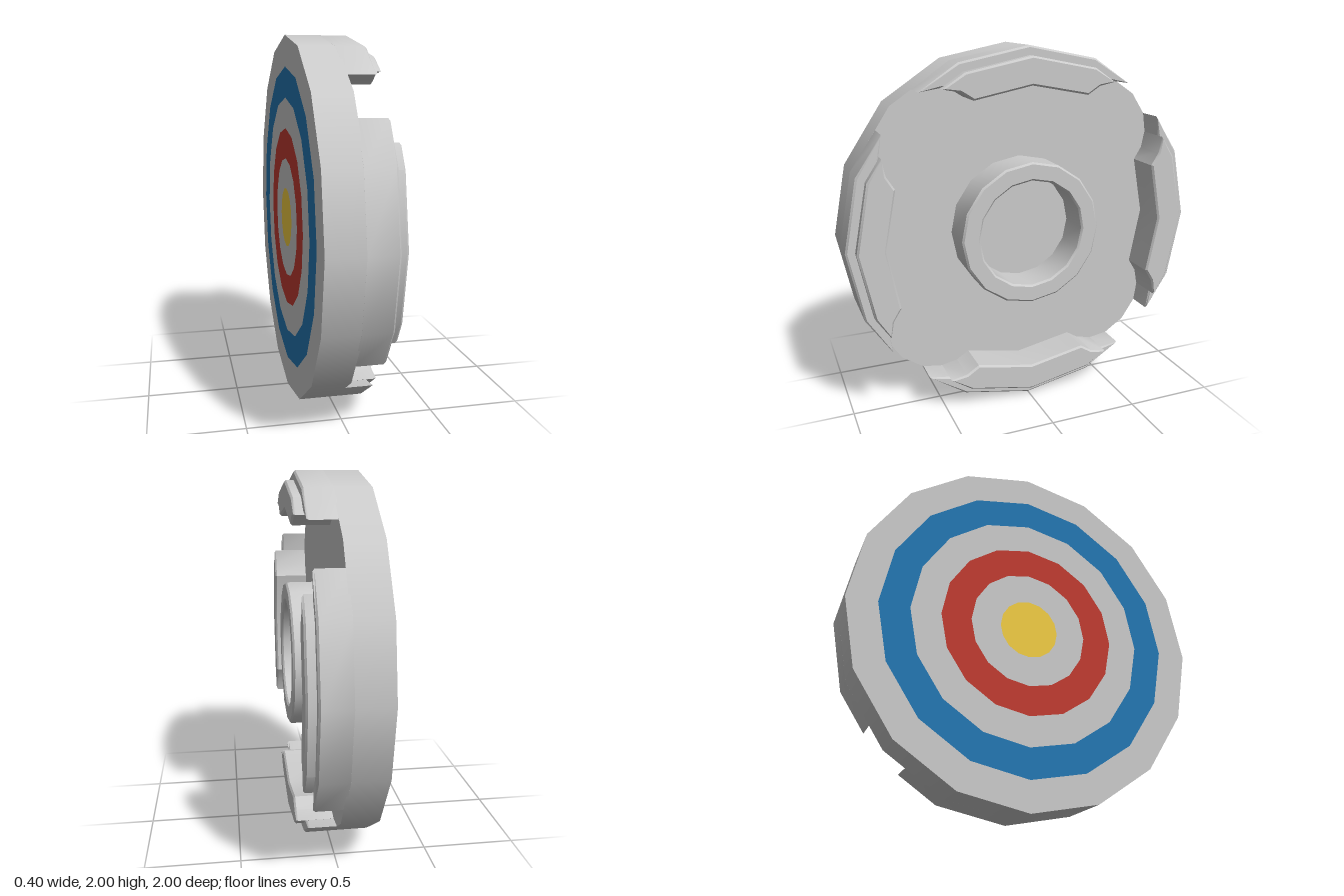
import * as THREE from 'three';
import { mergeGeometries, toCreasedNormals } from 'three/addons/utils/BufferGeometryUtils.js';

const SIDES = 16;
const BEVEL = 0.01;
const grey = new THREE.MeshStandardMaterial({ color: 0xcccccc });
const paint = (color) => new THREE.MeshStandardMaterial({ color });

function addMesh(parent, name, geometry, material = grey) {
  const mesh = new THREE.Mesh(geometry, material);
  mesh.name = name;
  parent.add(mesh);
  return mesh;
}

// Closed polygon mirrored about its vertical axis, from points of one half (outer apex to inner apex)
function mirroredShape(half) {
  const other = half.slice(1, -1).reverse().map(([a, b]) => [-a, b]);
  return new THREE.Shape([...half, ...other].map(([a, b]) => new THREE.Vector2(a, b)));
}

function polygonPoints(radius) {
  return Array.from({ length: SIDES }, (_, i) => {
    const t = (i / SIDES) * Math.PI * 2;
    return new THREE.Vector2(radius * Math.cos(t), radius * Math.sin(t));
  });
}

// Extrude along x between x0 and x1 with a fine chamfer kept inside the outline
function extrudeX(shape, x0, x1) {
  const geometry = new THREE.ExtrudeGeometry(shape, {
    depth: x1 - x0 - 2 * BEVEL, bevelEnabled: true, bevelSegments: 1,
    bevelThickness: BEVEL, bevelSize: BEVEL, bevelOffset: -BEVEL,
  });
  geometry.translate(0, 0, x0 + BEVEL).rotateY(Math.PI / 2);
  return toCreasedNormals(geometry, 0.5);
}

export function createModel() {
  const model = new THREE.Group();
  model.name = 'targetDisc';
  const disc = new THREE.Group();
  disc.name = 'disc';
  disc.position.y = 1;
  model.add(disc);

  // Rim and inner face of the plate
  const rim = new THREE.CylinderGeometry(1, 1, 0.2, SIDES, 1, true).rotateZ(-Math.PI / 2).translate(-0.1, 0, 0);
  const face = new THREE.CircleGeometry(1, SIDES).rotateY(Math.PI / 2);
  addMesh(disc, 'plate', mergeGeometries([rim, face]));

  // Concentric target bands on the outer face
  const bands = [
    ['bullseye', paint(0xf3ce44)], ['innerGreyBand', grey], ['redBand', paint(0xc23c31)],
    ['middleGreyBand', grey], ['blueBand', paint(0x2478b4)], ['outerGreyBand', grey],
  ];
  bands.forEach(([name, material], i) => {
    const band = i === 0
      ? new THREE.CircleGeometry(1 / 6, SIDES)
      : new THREE.RingGeometry(i / 6, (i + 1) / 6, SIDES);
    addMesh(disc, name, band.rotateY(-Math.PI / 2).translate(-0.2, 0, 0), material);
  });

  // Central hollow hub
  const hub = new THREE.Shape(polygonPoints(0.4));
  hub.holes.push(new THREE.Path(polygonPoints(0.3).reverse()));
  addMesh(disc, 'hub', extrudeX(hub, -0.02, 0.2));

  // Four rim walls, each with a taller ridge on its inner side
  const wall = extrudeX(mirroredShape([
    [0, 1], [0.383, 0.924], [0.59, 0.785], [0.47, 0.803], [0.34, 0.8], [0, 0.87],
  ]), -0.02, 0.15);
  const ridge = extrudeX(mirroredShape([
    [0, 0.95], [0.363, 0.878], [0.48, 0.8], [0.39, 0.782], [0.32, 0.738], [0, 0.8],
  ]), -0.02, 0.2);
  for (let i = 0; i < 4; i++) {
    const segment = new THREE.Group();
    segment.name = `rimSegment${i + 1}`;
    segment.rotation.x = (i * Math.PI) / 2;
    addMesh(segment, 'rimWall', wall);
    addMesh(segment, 'rimRidge', ridge);
    disc.add(segment);
  }
  return model;
}
